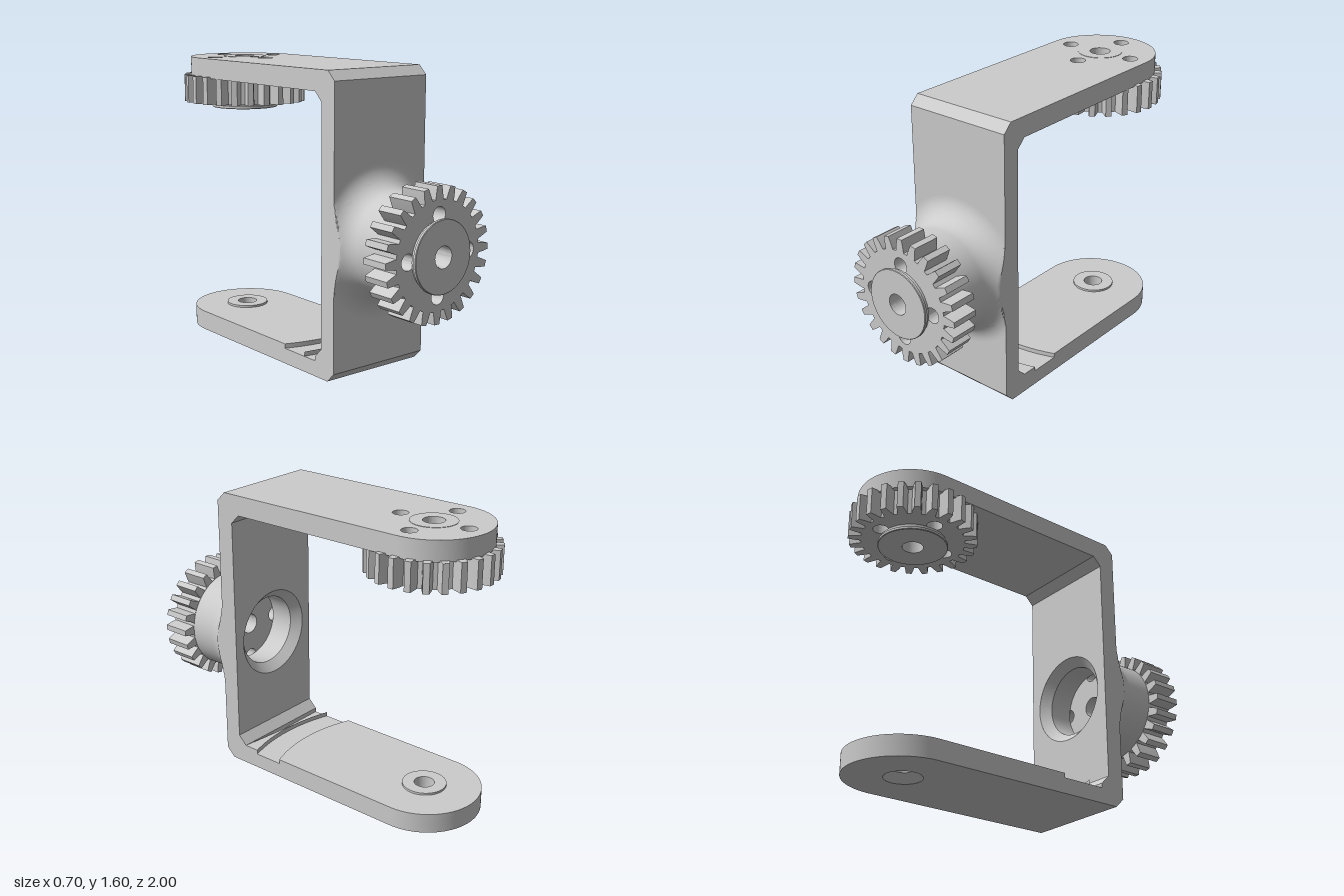
import * as THREE from 'three';
import { toCreasedNormals } from 'three/addons/utils/BufferGeometryUtils.js';

const HALF = 0.31;      // half the bracket width
const PIVOT = -0.65;    // z of the arm pivot axis
const HUB_Y = 0.71;     // height of the front gear axis
const BORE = 0.057;

const material = new THREE.MeshStandardMaterial({ color: 0xcccccc });

function mesh(name, geometry) {
  const m = new THREE.Mesh(toCreasedNormals(geometry, 0.5), material);
  m.name = name;
  return m;
}

function addHole(shape, x, y, r) {
  shape.holes.push(new THREE.Path().absarc(x, y, r, 0, Math.PI * 2, true));
}

// Centre bore with four screw holes around it
function addBoltPattern(shape, x, y, bore) {
  addHole(shape, x, y, bore);
  for (let i = 0; i < 4; i++) {
    const a = (i * Math.PI) / 2;
    addHole(shape, x + 0.205 * Math.cos(a), y + 0.205 * Math.sin(a), 0.042);
  }
}

const extrude = (shape, depth) =>
  new THREE.ExtrudeGeometry(shape, { depth, bevelEnabled: false, curveSegments: 24 });

// Slab drawn in x/z, lying between two heights
const slab = (shape, bottom, top) =>
  extrude(shape, top - bottom).rotateX(Math.PI / 2).translate(0, top, 0);

const lathe = (points) =>
  new THREE.LatheGeometry(points.map(([r, y]) => new THREE.Vector2(r, y)), 96);

// Round-ended arm; with an end radius, the inner end is an arc around the pivot
function armShape(endRadius) {
  const s = new THREE.Shape();
  if (endRadius) {
    const a = Math.acos(HALF / endRadius);
    s.absarc(0, PIVOT, endRadius, a, Math.PI - a, false);
  } else {
    s.moveTo(HALF, 0.39);
    s.lineTo(-HALF, 0.39);
  }
  s.lineTo(-HALF, PIVOT);
  s.absarc(0, PIVOT, HALF, Math.PI, Math.PI * 2, false);
  s.closePath();
  return s;
}

// Gear with its raised retaining disc, axis along z
function createGear(name) {
  const group = new THREE.Group();
  group.name = name;
  const teeth = 24;
  const outline = [];
  const profile = [[-0.092, 0.282], [-0.07, 0.315], [-0.046, 0.35],
    [0.046, 0.35], [0.07, 0.315], [0.092, 0.282]];
  for (let i = 0; i < teeth; i++) {
    for (const [da, r] of profile) {
      const a = (i / teeth) * Math.PI * 2 + da;
      outline.push(new THREE.Vector2(r * Math.cos(a), r * Math.sin(a)));
    }
  }
  const shape = new THREE.Shape(outline);
  addBoltPattern(shape, 0, 0, BORE);
  group.add(mesh('gearTeeth', extrude(shape, 0.155)));
  group.add(mesh('retainingDisc', lathe([
    [BORE, 0.155], [0.18, 0.155], [0.18, 0.171], [0.19, 0.174], [0.19, 0.187],
    [0.187, 0.19], [BORE, 0.19], [BORE, 0.155],
  ]).rotateX(Math.PI / 2)));
  return group;
}

export function createModel() {
  const model = new THREE.Group();
  model.name = 'gearedBracket';

  // Upright plate with the hub opening
  const plate = new THREE.Shape();
  plate.moveTo(-HALF, 0.16);
  plate.lineTo(HALF, 0.16);
  plate.lineTo(HALF, 1.44);
  plate.lineTo(-HALF, 1.44);
  plate.closePath();
  addHole(plate, 0, HUB_Y, 0.25);
  model.add(mesh('uprightPlate', extrude(plate, 0.1).translate(0, 0, 0.44)));

  // Chamfered corners joining plate and arms
  const corner = [[0.44, 1.44], [0.54, 1.44], [0.54, 1.55], [0.49, 1.6], [0.39, 1.6], [0.39, 1.49]];
  for (const top of [true, false]) {
    const s = new THREE.Shape(corner.map(([z, y]) => new THREE.Vector2(-z, top ? y : 1.6 - y)));
    const g = extrude(s, HALF * 2).translate(0, 0, -HALF).rotateY(Math.PI / 2);
    model.add(mesh(top ? 'topCorner' : 'bottomCorner', g));
  }

  // Top arm with screw holes and bushing
  const topArm = armShape();
  addBoltPattern(topArm, 0, PIVOT, 0.1);
  model.add(mesh('topArm', slab(topArm, 1.49, 1.6)));
  model.add(mesh('topBushing', lathe([
    [0.123, 1.59], [0.123, 1.602], [BORE, 1.602], [BORE, 1.49], [0.1, 1.49],
  ]).translate(0, 0, PIVOT)));

  // Bottom arm: base layer, then upper layers leaving a curved groove
  const base = armShape();
  const upper = armShape(0.84);
  for (const s of [base, upper]) addHole(s, 0, PIVOT, 0.1);
  model.add(mesh('bottomArmBase', slab(base, 0, 0.085)));
  model.add(mesh('bottomArmTop', slab(upper, 0.085, 0.11)));
  const b = Math.acos(HALF / 1.0);
  const step = new THREE.Shape();
  step.moveTo(-HALF, 0.39);
  step.absarc(0, PIVOT, 1.0, Math.PI - b, b, true);
  step.lineTo(HALF, 0.39);
  step.closePath();
  model.add(mesh('grooveStep', slab(step, 0.085, 0.11)));
  model.add(mesh('pivotBoss', lathe([
    [0.12, 0.1], [0.12, 0.122], [0.055, 0.122], [0.055, 0.045], [0.1, 0],
  ]).translate(0, 0, PIVOT)));

  // Flared hub, trimmed flush with the plate sides
  const flare = [];
  for (let i = 0; i <= 16; i++) {
    const a = (i / 16) * (Math.PI / 2);
    flare.push([0.41 - 0.13 * Math.sin(a), 0.67 - 0.13 * Math.cos(a)]);
  }
  flare.push([0.28, 0.81]);
  const hub = lathe(flare).rotateX(Math.PI / 2);
  const p = hub.attributes.position;
  for (let i = 0; i < p.count; i++) {
    p.setX(i, THREE.MathUtils.clamp(p.getX(i), -HALF, HALF));
  }
  model.add(mesh('hubFlare', hub.translate(0, HUB_Y, 0)));

  // Chamfered recess behind the hub, and the drilled floor
  model.add(mesh('hubRecess', lathe([
    [0.275, 0.63], [0.2, 0.63], [0.2, 0.49], [0.25, 0.44],
  ]).rotateX(Math.PI / 2).translate(0, HUB_Y, 0)));
  const floor = new THREE.Shape().absarc(0, 0, 0.275, 0, Math.PI * 2, false);
  addBoltPattern(floor, 0, 0, BORE);
  model.add(mesh('hubFloor', extrude(floor, 0.18).translate(0, HUB_Y, 0.63)));

  // Gears
  const frontGear = createGear('frontGear');
  frontGear.position.set(0, HUB_Y, 0.81);
  const topGear = createGear('topGear');
  topGear.rotation.x = Math.PI / 2;
  topGear.position.set(0, 1.498, PIVOT);
  model.add(frontGear, topGear);

  return model;
}
